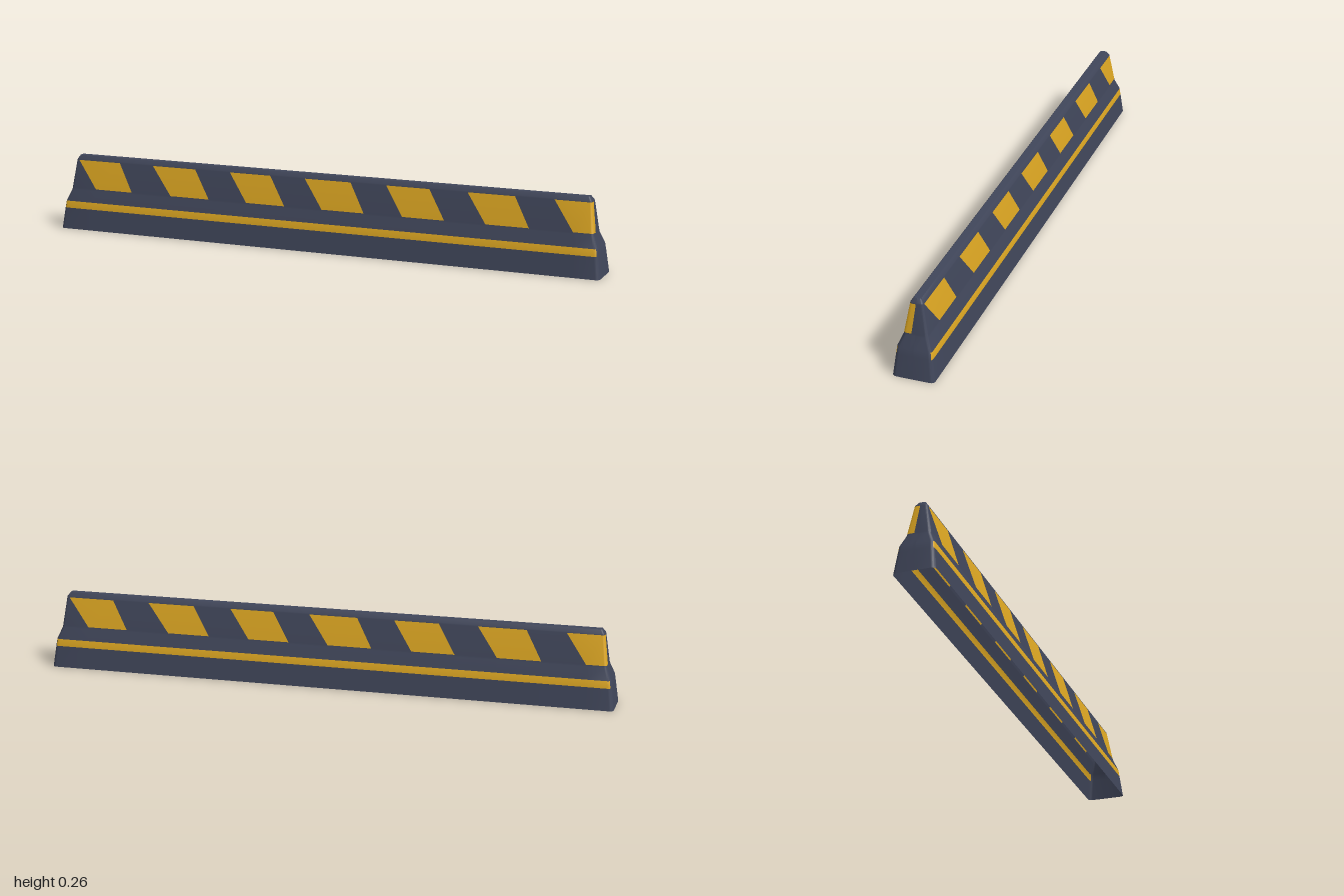
import * as THREE from 'three';
import { toCreasedNormals } from 'three/addons/utils/BufferGeometryUtils.js';

// Wall rings from the ground up: height, half length, half depth, corner radius
const RINGS = [
  [0, 1.0, 0.07, 0.014],
  [0.075, 0.99, 0.061, 0.013],
  [0.1, 0.986, 0.058, 0.012],
  [0.14, 0.97, 0.041, 0.01],
  [0.146, 0.969, 0.04, 0.01],
  [0.246, 0.956, 0.022, 0.008],
  [0.25, 0.955, 0.021, 0.008],
  [0.263, 0.946, 0.012, 0.006],
  [0.263, 0.946, 0, 0], // closes the top along the centre line
];
const LINE_ROW = 1, BLOCK_ROW = 4;

// Left and right edges of the slanted blocks, at their bottom and top
const EDGES_LOW = [-0.87, -0.725, -0.57, -0.42, -0.275, -0.13, 0.01, 0.165, 0.305, 0.455, 0.6, 0.75, 0.9];
const EDGES_HIGH = [-0.945, -0.78, -0.647, -0.48, -0.345, -0.19, -0.06, 0.11, 0.24, 0.395, 0.53, 0.695, 0.83];
const ARC = 4; // segments per rounded corner
const FIRST = ARC + 2, LAST = FIRST + EDGES_LOW.length - 1;
const ARC_END = LAST + ARC + 1;

// Half of a ring, from the middle of one end, along the front, to the middle of the other
function halfRing([y, l, d, r]) {
  const t = THREE.MathUtils.clamp((y - 0.146) / 0.1, 0, 1);
  const pts = [[-l, y, 0]];
  const corner = (side, start) => {
    for (let i = 0; i <= ARC; i++) {
      const a = start - (i / ARC) * Math.PI / 2;
      pts.push([side * (l - r) + r * Math.cos(a), y, d - r + r * Math.sin(a)]);
    }
  };
  corner(-1, Math.PI);
  EDGES_LOW.forEach((x, i) => pts.push([THREE.MathUtils.lerp(x, EDGES_HIGH[i], t), y, d]));
  corner(1, Math.PI / 2);
  pts.push([l, y, Math.min(d, 0.012 * (1 - t) + 0.001)], [l, y, 0]);
  return pts;
}

// Whether a cell of the wall is painted: the long line, or a block (the last wraps the end)
function isPainted(row, col) {
  if (row === LINE_ROW) return col >= 3 && col < ARC_END - 2;
  if (row !== BLOCK_ROW || col < FIRST) return false;
  return col >= LAST ? col <= ARC_END : (col - FIRST) % 2 === 0;
}

function halfShell() {
  const rings = RINGS.map(halfRing);
  const n = rings[0].length;
  const plain = [], painted = [];
  for (let row = 0; row < rings.length - 1; row++) {
    for (let col = 0; col < n - 1; col++) {
      const a = row * n + col, b = a + 1, c = b + n, d = a + n;
      (isPainted(row, col) ? painted : plain).push(a, b, c, a, c, d);
    }
  }
  const geo = new THREE.BufferGeometry();
  geo.setAttribute('position', new THREE.Float32BufferAttribute(rings.flat(2), 3));
  geo.setIndex([...plain, ...painted]);
  geo.addGroup(0, plain.length, 0);
  geo.addGroup(plain.length, painted.length, 1);
  const out = toCreasedNormals(geo, 0.55);
  out.clearGroups();
  out.addGroup(0, plain.length, 0);
  out.addGroup(plain.length, painted.length, 1);
  return out;
}

export function createModel() {
  const slate = new THREE.MeshStandardMaterial({ color: 0x40465a, side: THREE.DoubleSide });
  slate.name = 'slate';
  const yellow = new THREE.MeshStandardMaterial({ color: 0xdca622, side: THREE.DoubleSide });
  yellow.name = 'safetyYellow';

  const barrier = new THREE.Group();
  barrier.name = 'roadBarrier';
  const geo = halfShell();

  // Two identical halves of the hollow shell, the back one turned half round
  ['frontHalf', 'backHalf'].forEach((name, i) => {
    const half = new THREE.Mesh(geo, [slate, yellow]);
    half.name = name;
    half.rotation.y = i * Math.PI;
    barrier.add(half);
  });
  return barrier;
}
